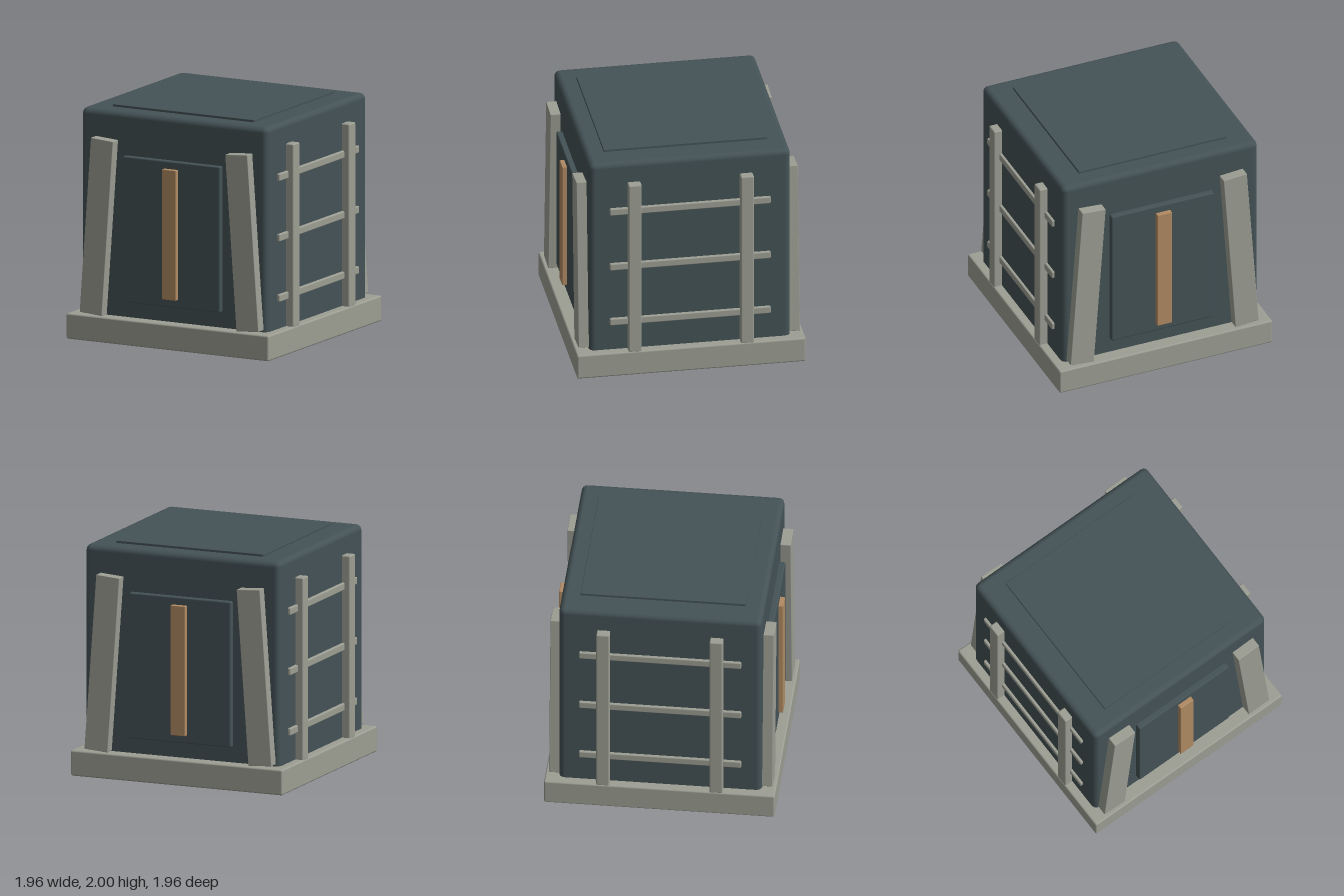
import * as THREE from 'three';
import { RoundedBoxGeometry } from 'three/addons/geometries/RoundedBoxGeometry.js';

const slate = new THREE.MeshStandardMaterial({ name: 'slate', color: 0x445256 });
const stone = new THREE.MeshStandardMaterial({ name: 'stone grey', color: 0x9c9e93 });
const tan = new THREE.MeshStandardMaterial({ name: 'tan', color: 0xb08a62 });

export function createModel() {
  const model = new THREE.Group();
  model.name = 'crate';

  // Softly bevelled box given by its size and centre
  function block(name, material, size, centre, radius = 0.01, tilt = 0) {
    const mesh = new THREE.Mesh(new RoundedBoxGeometry(...size, 2, radius), material);
    mesh.name = name;
    mesh.position.set(...centre);
    mesh.rotation.z = tilt;
    model.add(mesh);
  }

  // Plinth, body and lid panel
  block('base', stone, [1.955, 0.22, 1.955], [0, 0.11, 0], 0.015);
  block('body', slate, [1.8, 1.97, 1.72], [0, 0.995, 0], 0.05);
  block('topPanel', slate, [1.36, 0.04, 1.4], [0, 1.98, 0], 0.004);

  for (const s of [1, -1]) {
    const end = s > 0 ? 'front' : 'back';
    // Door panel with its upright light strip
    block(end + 'Panel', slate, [0.94, 1.255, 0.06], [0, 0.983, s * 0.88], 0.012);
    block(end + 'Strip', tan, [0.135, 1.12, 0.06], [0, 0.985, s * 0.92], 0.006);

    // Braces leaning inward towards the top
    for (const x of [1, -1]) {
      block(end + 'Brace', stone, [0.215, 1.515, 0.1], [x * 0.703, 0.985, s * 0.897], 0.005, x * 0.072);
    }

    // Side ladder frame: two posts and three rails
    const side = s > 0 ? 'left' : 'right';
    for (const z of [1, -1]) {
      block(side + 'Post', stone, [0.085, 1.58, 0.112], [s * 0.93, 1.0, z * 0.48], 0.012);
    }
    for (const y of [0.485, 1.005, 1.525]) {
      block(side + 'Rail', stone, [0.045, 0.064, 1.375], [s * 0.902, y, 0], 0.01);
    }
  }
  return model;
}
